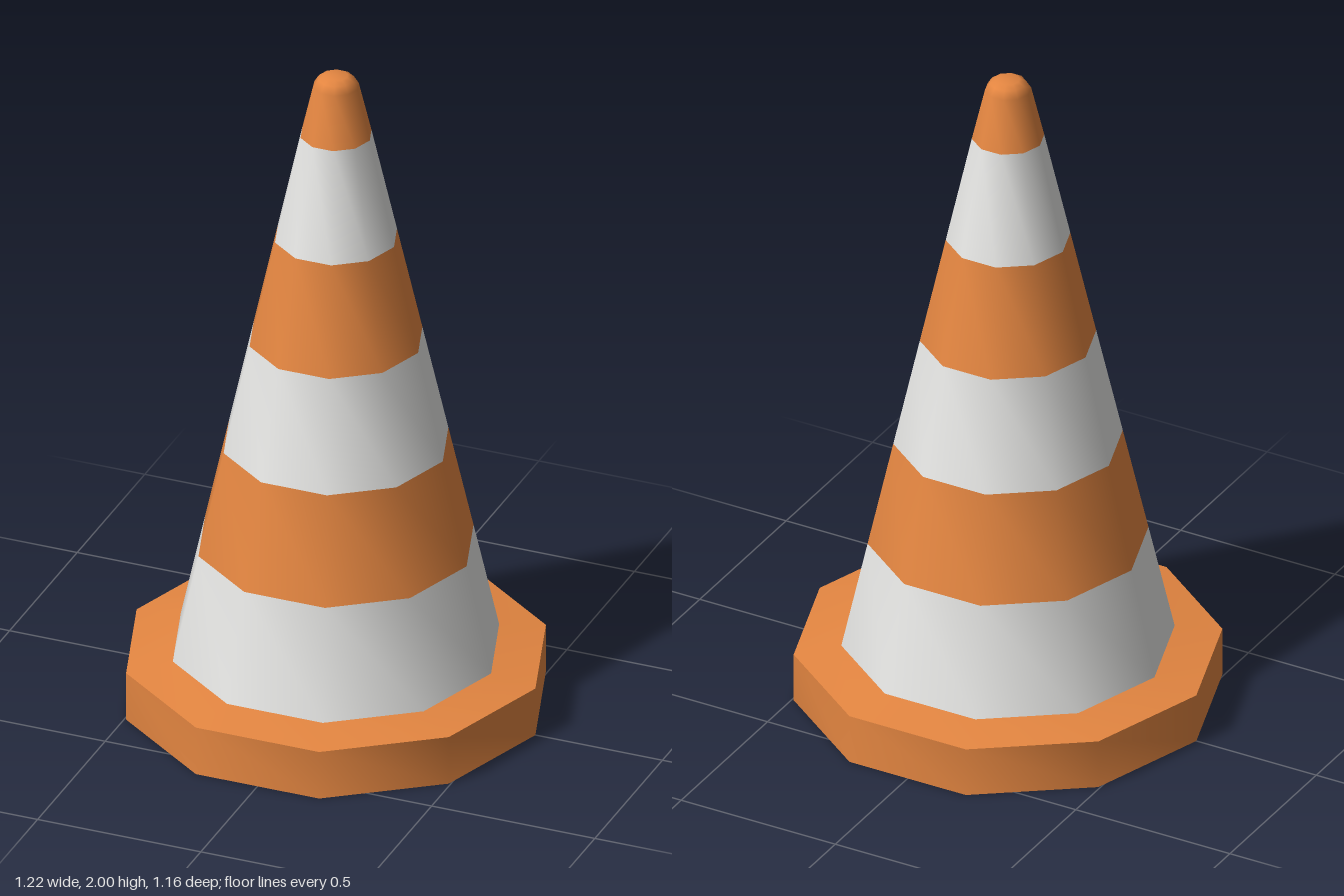
import * as THREE from 'three';
import { mergeVertices } from 'three/addons/utils/BufferGeometryUtils.js';

const SIDES = 10;

// Ten-sided surface of revolution with a corner on the x axis; profile is [radius, y].
// Shared corners give one smooth normal at each point, including the tips.
function ringGeometry(profile) {
  const points = profile.map(([r, y]) => new THREE.Vector2(r, y));
  const lathe = new THREE.LatheGeometry(points, SIDES, Math.PI / 2);
  lathe.deleteAttribute('normal');
  lathe.deleteAttribute('uv');
  const geometry = mergeVertices(lathe);
  geometry.computeVertexNormals();
  return geometry;
}

export function createModel() {
  const group = new THREE.Group();
  group.name = 'trafficCone';

  const orange = new THREE.MeshStandardMaterial({ color: 0xe48641 });
  orange.name = 'orange';
  const white = new THREE.MeshStandardMaterial({ color: 0xe5e5e3 });
  white.name = 'white';

  const addRing = (name, profile, material) => {
    const mesh = new THREE.Mesh(ringGeometry(profile), material);
    mesh.name = name;
    group.add(mesh);
  };

  // Base plate: separate faces keep the rims sharp
  addRing('baseUnderside', [[0.475, 0], [0.611, 0]], orange);
  addRing('baseSide', [[0.611, 0], [0.611, 0.15]], orange);
  addRing('baseTop', [[0.611, 0.15], [0.475, 0.17]], orange);

  // Alternating bands up the cone
  const heights = [0.17, 0.5, 0.823, 1.157, 1.483, 1.811];
  const radiusAt = (y) => 0.475 - (y - 0.17) * 0.2265;
  for (let i = 0; i < heights.length - 1; i++) {
    const [low, high] = [heights[i], heights[i + 1]];
    const isWhite = i % 2 === 0;
    addRing(isWhite ? 'whiteBand' : 'orangeBand',
      [[radiusAt(low), low], [radiusAt(high), high]], isWhite ? white : orange);
  }

  // Rounded tip
  addRing('coneTip', [[radiusAt(1.811), 1.811], [0.066, 1.968], [0.052, 1.99], [0.034, 2], [0, 2]], orange);

  // Hollow inside, facing inward: upright through the base, then a thin wall up the cone
  addRing('coneInside', [[0, 1.985], [0.06, 1.96], [0.471, 0.17], [0.475, 0]], orange);

  return group;
}
